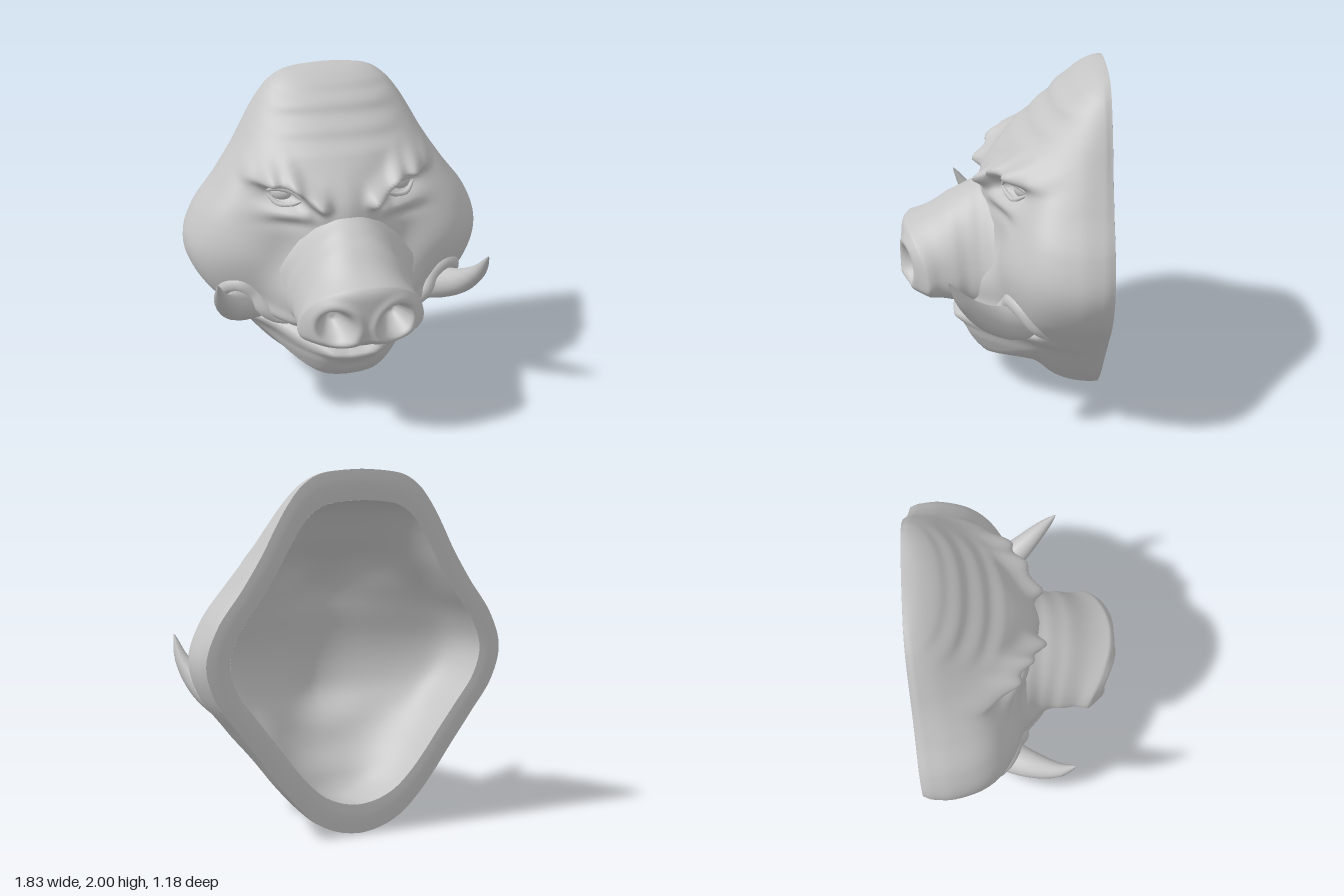
import * as THREE from 'three';

const hide = new THREE.MeshStandardMaterial({ color: 0xc4c4c4, side: THREE.DoubleSide });
hide.name = 'light grey';

const BACK = -0.58;
const { smoothstep, lerp, clamp } = THREE.MathUtils;
const gauss = (v, s) => Math.exp(-(v * v) / (2 * s * s));
const spot = (x, y, cx, cy, sx, sy) => gauss(x - cx, sx) * gauss(y - cy, sy);

// Smooth lookup in an evenly spaced table, k from 0 to 1
function spline(table, k) {
  const n = table.length - 1, f = clamp(k, 0, 1) * n, i = Math.min(Math.floor(f), n - 1), t = f - i;
  const at = (j) => table[clamp(j, 0, n)];
  const a = at(i - 1), b = at(i), c = at(i + 1), d = at(i + 2);
  return b + 0.5 * t * (c - a + t * (2 * a - 5 * b + 4 * c - d + t * (3 * (b - c) + d - a)));
}

// Half width and front depth of the skull, spaced by y = 1 - cos(k * PI)
const WIDTH = [0, 0.13, 0.26, 0.37, 0.48, 0.595, 0.73, 0.87, 0.924, 0.855, 0.715, 0.6, 0.515, 0.435, 0.35, 0.23, 0];
const DEPTH = [-0.58, -0.37, -0.27, -0.19, -0.07, 0.03, 0.19, 0.22, 0.2, 0.15, 0.11, -0.01, -0.17, -0.29, -0.39, -0.49, -0.58];
const level = (y) => Math.acos(clamp(1 - y, -1, 1)) / Math.PI;
const halfWidth = (y) => Math.max(spline(WIDTH, level(y)), 0);
const depth = (y) => spline(DEPTH, level(y)) - BACK;

// Cross-section, 1 at the middle and 0 at the side: upright cheeks with a wedge front, rounder at crown and neck
function section(x, y) {
  const q = Math.min(Math.abs(x) / Math.max(halfWidth(y), 1e-4), 1);
  const wedge = 0.46 * Math.sqrt(1 - Math.pow(q, 17)) + 0.54 * (1 - Math.pow(q, 1.15 + 0.3 * gauss(q, 0.2)));
  const round = Math.sqrt(1 - Math.pow(q, 2.2));
  return lerp(round, wedge, smoothstep(y, 0.38, 0.62) * (1 - smoothstep(y, 1.35, 1.65)));
}

// Sculpted relief of the face
function relief(px, y) {
  const x = Math.abs(px);
  let z = 0;
  // chin and lower jaw
  const chin = 0.175 + 1.0 * x * x;
  z += 0.23 * smoothstep(y, chin - 0.01, chin + 0.055) * (1 - smoothstep(y, 0.46, 0.6)) * (1 - smoothstep(x, 0.12, 0.55));
  // lower lip, mouth crease and upper lip
  const lip = 0.45 + 0.085 * smoothstep(x, 0.03, 0.22) + 0.06 * smoothstep(x, 0.3, 0.7);
  const mouth = 1 - smoothstep(x, 0.64, 0.74);
  z += mouth * (0.008 + 0.027 * smoothstep(x, 0.05, 0.25)) * gauss(y - lip, 0.033);
  z -= mouth * (0.05 * gauss(y - lip - 0.065, 0.016) + 0.01 * gauss(y - lip + 0.08, 0.03));
  z += 0.04 * gauss(y - lip - 0.12, 0.035) * smoothstep(x, 0.1, 0.3) * mouth;
  // brow ridge with folds
  const brow = 1.48 - 0.11 * (1 - smoothstep(x, 0.14, 0.34));
  z += (0.115 + 0.018 * Math.sin(48 * x)) * gauss(y - brow, y < brow ? 0.026 : 0.055) * smoothstep(x, 0.06, 0.2) * (1 - smoothstep(x, 0.4, 0.62));
  z += 0.012 * Math.sin(60 * x) * spot(x, y, 0.2, 1.37, 0.06, 0.05);
  // eye socket and bags
  z -= 0.06 * spot(x, y, 0.35, 1.385, 0.08, 0.035);
  z += 0.03 * spot(x, y, 0.33, 1.3, 0.09, 0.03) - 0.015 * spot(x, y, 0.33, 1.24, 0.11, 0.025);
  // cheek mass, the hollow beside the bridge, and the muzzle flaring into the snout
  z += 0.05 * spot(x, y, 0.66, 1.08, 0.15, 0.2) - 0.045 * spot(x, y, 0.34, 1.05, 0.09, 0.12);
  z += 0.08 * spot(x, y, 0.33, 0.75, 0.09, 0.14);
  // forehead wrinkles
  z += 0.007 * Math.sin((y + 0.12 * x * x) * 52) * smoothstep(y, 1.56, 1.66) * (1 - smoothstep(y, 1.86, 1.95)) * (1 - smoothstep(x, 0.25, 0.45));
  return z;
}
function faceZ(x, y) {
  const s = section(x, y);
  return BACK + depth(y) * s + relief(x, y) * smoothstep(s, 0, 0.6);
}

// Surface from a rule: i runs over rows, j over columns
function grid(rows, cols, rule, flip = false) {
  const pos = [], index = [];
  for (let i = 0; i <= rows; i++)
    for (let j = 0; j <= cols; j++) pos.push(...rule(i / rows, j / cols));
  for (let i = 0; i < rows; i++)
    for (let j = 0; j < cols; j++) {
      const a = i * (cols + 1) + j, b = a + 1, c = a + cols + 1, d = c + 1;
      if (flip) index.push(a, c, b, b, c, d);
      else index.push(a, b, c, b, d, c);
    }
  const g = new THREE.BufferGeometry();
  g.setAttribute('position', new THREE.Float32BufferAttribute(pos, 3));
  g.setIndex(index);
  g.computeVertexNormals();
  return g;
}

// Tube whose radius follows a rule
function taperedTube(points, radius, steps = 40, sides = 18) {
  const curve = new THREE.CatmullRomCurve3(points.map((p) => new THREE.Vector3(...p)));
  const g = new THREE.TubeGeometry(curve, steps, 1, sides);
  const p = g.attributes.position, n = g.attributes.normal;
  for (let k = 0; k < p.count; k++) {
    const m = 1 - radius(Math.floor(k / (sides + 1)) / steps);
    p.setXYZ(k, p.getX(k) - n.getX(k) * m, p.getY(k) - n.getY(k) * m, p.getZ(k) - n.getZ(k) * m);
  }
  return g;
}

const rowY = (v) => 1 - Math.cos(v * Math.PI);
const backPinch = (z) => 1 - 0.025 * (1 - smoothstep(z, BACK, -0.4)) - 0.02 * (1 - smoothstep(z, BACK, BACK + 0.04));
const INNER_X = 0.815, INNER_Y = 0.835;

function facePoint(v, u) {
  const y = rowY(v), x = -halfWidth(y) * Math.cos(u * Math.PI), z = faceZ(x, y);
  return [x * backPinch(z), y, z];
}
function liningPoint(v, u) {
  const y = rowY(v), x = -halfWidth(y) * Math.cos(u * Math.PI);
  return [x * INNER_X, 1 + (y - 1) * INNER_Y, BACK + depth(y) * 0.78 * section(x, y)];
}
// Flat rim between the face edge and the lining edge
function rimPoint(side) {
  return (v, u) => {
    const y = rowY(v), w = halfWidth(y) * side;
    return [w * lerp(backPinch(BACK), INNER_X, u), lerp(y, 1 + (y - 1) * INNER_Y, u), BACK - 0.006 * Math.sin(u * Math.PI)];
  };
}

// Snout: egg-shaped sections growing squarer, then a domed disc with two nostrils
const TOP = [1.35, 1.29, 1.22, 1.14, 1.08], BOTTOM = [0.5, 0.55, 0.59, 0.62, 0.65], SNOUT_W = [0.31, 0.34, 0.345, 0.35, 0.36];
const SIDE_PART = 0.42;
const SNOUT_ROOT = 0.04;
function snoutPoint(v, u) {
  const along = Math.min(v / SIDE_PART, 1), s = Math.min(1, (1 - v) / (1 - SIDE_PART));
  const square = (t) => Math.sign(t) * Math.pow(Math.abs(t), lerp(1, 0.76, along));
  const c = square(Math.cos(u * Math.PI * 2)), sn = square(Math.sin(u * Math.PI * 2));
  const top = spline(TOP, along), bottom = spline(BOTTOM, along), mid = (top + bottom) / 2 - 0.02;
  const ridges = 1 + 0.008 * Math.sin(along * 26) * (1 - along) - 0.025 * gauss(along - 0.78, 0.08);
  const flare = 0.13 * Math.pow(Math.max(0, 1 - along / 0.4), 2) * (1 - 0.5 * Math.max(sn, 0));
  const x = (spline(SNOUT_W, along) + flare) * c * (1 - lerp(0.3, 0.14, along) * sn) * s * ridges;
  let y = mid + (sn > 0 ? top - mid : mid - bottom) * sn * s * ridges;
  if (sn > 0) y -= 0.45 * x * x * along * sn;
  if (along === 1) y += 0.05 * gauss(x, 0.035) * smoothstep(-sn * s, 0.5, 1);
  let front = 0.58 - 1.0 * x * x - 0.1 * (1 - smoothstep(y, 0.62, 0.76)) - 0.035 * Math.pow(s, 9);
  if (along === 1) {
    const e = Math.hypot((Math.abs(x) - 0.17) / 0.115, (y - 0.84) / 0.125);
    front += 0.012 * gauss(e - 1.15, 0.15) - 0.17 * (1 - smoothstep(e, 0.15, 1.02));
    front -= 0.02 * gauss(x, 0.03) * (1 - smoothstep(y, 0.7, 0.85));
  }
  return [x, y, lerp(SNOUT_ROOT, front, along)];
}

export function createModel() {
  const model = new THREE.Group();
  model.name = 'boarMask';
  const add = (name, geometry) => {
    const m = new THREE.Mesh(geometry, hide);
    m.name = name;
    model.add(m);
    return m;
  };

  add('face', grid(220, 150, facePoint));
  add('innerLining', grid(60, 60, liningPoint, true));
  add('snout', grid(90, 110, snoutPoint));

  for (const side of [1, -1]) {
    const label = side > 0 ? 'left' : 'right';
    // Path lying on the face surface
    const onFace = (pts, lift) => pts.map(([x, y]) => [x * side, y, faceZ(x, y) + lift]);
    const swell = (r) => (t) => r * Math.sqrt(Math.max(0, Math.sin(t * Math.PI)));

    add(label + 'Rim', grid(120, 4, rimPoint(side), side < 0));

    // Tusk
    const tusk = [[0.55, 0.69, -0.13], [0.62, 0.71, -0.06], [0.7, 0.78, 0.07], [0.765, 0.91, 0.2], [0.785, 1.05, 0.29]];
    add(label + 'Tusk', taperedTube(tusk.map(([x, y, z]) => [x * side, y, z]), (t) => 0.112 * Math.pow(1 - t, 0.75)));

    // Lip fold curling around the tusk root
    const fold = [[0.3, 0.61], [0.42, 0.64], [0.49, 0.7], [0.54, 0.78], [0.61, 0.84], [0.68, 0.82], [0.715, 0.74], [0.69, 0.64]];
    add(label + 'LipFold', taperedTube(onFace(fold, -0.03), swell(0.056)));

    // Eye with lids
    const eye = add(label + 'Eye', new THREE.SphereGeometry(0.07, 28, 18));
    eye.scale.set(1, 0.72, 0.7);
    eye.position.set(0.35 * side, 1.39, faceZ(0.35, 1.39) - 0.012);
    eye.rotation.set(0, 0.5 * side, 0);
    add(label + 'UpperLid', taperedTube(onFace([[0.25, 1.375], [0.3, 1.428], [0.37, 1.442], [0.44, 1.405]], -0.004), swell(0.02), 24, 10));
    add(label + 'LowerLid', taperedTube(onFace([[0.25, 1.375], [0.31, 1.345], [0.38, 1.342], [0.44, 1.39]], -0.002), swell(0.016), 24, 10));
  }
  return model;
}
